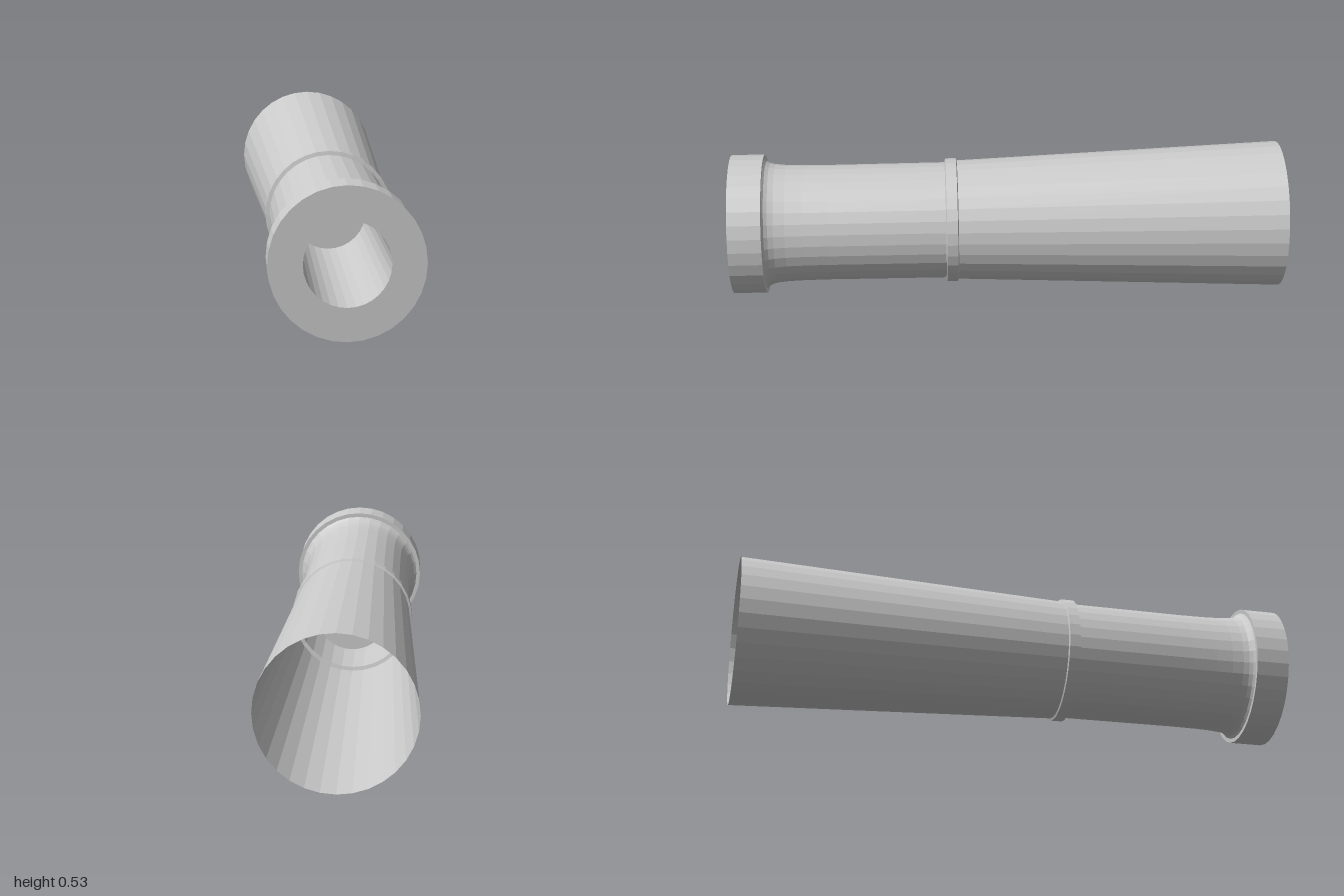
import * as THREE from 'three';

const SIDES = 32;
const AXIS_Y = 0.268;

export function createModel() {
  const model = new THREE.Group();
  model.name = 'cannonBarrel';
  const material = new THREE.MeshStandardMaterial({
    color: 0xcccccc, flatShading: true, side: THREE.DoubleSide,
  });

  // Turns a profile of [radius, z] pairs around the barrel axis
  function turned(name, profile) {
    const points = profile.map(([r, z]) => new THREE.Vector2(r, z));
    const geometry = new THREE.LatheGeometry(points, SIDES);
    geometry.rotateX(Math.PI / 2);
    const mesh = new THREE.Mesh(geometry, material);
    mesh.name = name;
    mesh.position.y = AXIS_Y;
    model.add(mesh);
  }

  // Tapered rear tube, open at the back
  turned('breech', [[0.267, -1], [0.218, 0.18]]);

  // Raised band between the two tubes
  turned('band', [[0.218, 0.18], [0.226, 0.183], [0.226, 0.222], [0.212, 0.225]]);

  // Front tube, flaring out towards the muzzle
  turned('chase', [
    [0.212, 0.225], [0.21, 0.65], [0.211, 0.74], [0.213, 0.8],
    [0.217, 0.84], [0.222, 0.86], [0.229, 0.873], [0.238, 0.88],
  ]);

  // Muzzle collar with its flat front face
  turned('muzzle', [[0.238, 0.88], [0.253, 0.88], [0.253, 1], [0.141, 1]]);

  // Bore with a closed end
  turned('bore', [[0.141, 1], [0.134, 0.2], [0, 0.2]]);

  return model;
}
